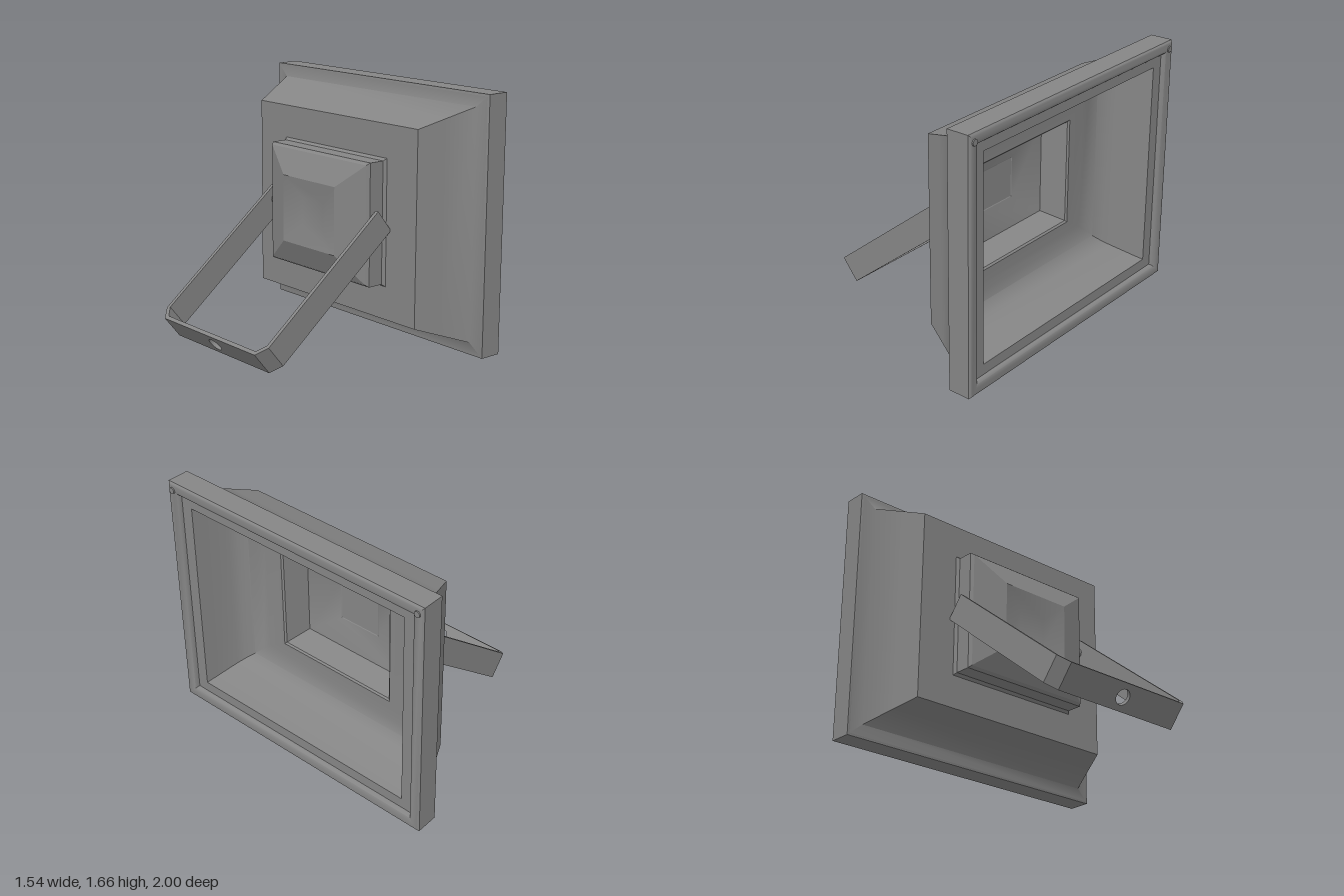
import * as THREE from 'three';
import { toCreasedNormals } from 'three/addons/utils/BufferGeometryUtils.js';

const CENTER_Y = 0.83;
const grey = new THREE.MeshStandardMaterial({ color: 0x858585, side: THREE.DoubleSide });

function add(parent, name, geometry) {
  const mesh = new THREE.Mesh(geometry, grey);
  mesh.name = name;
  parent.add(mesh);
  return mesh;
}

// Rectangular loft along x; each ring is [x, half width in z, half height in y]
function rectLoft(rings, crease = 0.5) {
  const corners = [[1, 1], [-1, 1], [-1, -1], [1, -1]];
  const point = (ring, k) => {
    const [sz, sy] = corners[k % 4];
    return [ring[0], CENTER_Y + sy * ring[2], sz * ring[1]];
  };
  const pos = [];
  for (let i = 0; i < rings.length - 1; i++) {
    for (let k = 0; k < 4; k++) {
      const a = point(rings[i], k), b = point(rings[i + 1], k);
      const c = point(rings[i + 1], k + 1), d = point(rings[i], k + 1);
      if (rings[i + 1][1] > 0) pos.push(...a, ...b, ...c);
      else pos.push(...a, ...b, ...d);
      if (rings[i][1] > 0 && rings[i + 1][1] > 0) pos.push(...a, ...c, ...d);
    }
  }
  const geo = new THREE.BufferGeometry();
  geo.setAttribute('position', new THREE.Float32BufferAttribute(pos, 3));
  return toCreasedNormals(geo, crease);
}

function polygon(points) {
  return new THREE.Shape(points.map(([x, y]) => new THREE.Vector2(x, y)));
}

function extrude(shape, depth) {
  const geo = new THREE.ExtrudeGeometry(shape, { depth, bevelEnabled: false, curveSegments: 20 });
  return geo.translate(0, 0, -depth / 2);
}

function createBracket() {
  const bracket = new THREE.Group();
  bracket.name = 'mountingBracket';
  const width = 0.175;

  // Side arms with bent corners, mirrored in z
  const arm = [[1.18, 0.525], [0.075, 0.525], [0, 0.465], [0, 0.45],
    [0.025, 0.45], [0.085, 0.5], [1.18, 0.5]];
  for (const side of [1, -1]) {
    const shape = polygon(arm.map(([x, z]) => [x, side * z]));
    add(bracket, side > 0 ? 'leftArm' : 'rightArm', extrude(shape, width).rotateX(Math.PI / 2));
  }

  // Cross plate with a mounting hole
  const w = 0.45, h = width / 2;
  const plate = polygon([[-w, -h], [w, -h], [w, h], [-w, h]]);
  plate.holes.push(new THREE.Path().absarc(0, 0, 0.05, 0, Math.PI * 2, true));
  add(bracket, 'crossPlate', extrude(plate, 0.025).rotateY(Math.PI / 2).translate(0.0125, 0, 0));

  bracket.position.set(-0.717, 0.12, 0);
  bracket.rotation.z = 0.675;
  return bracket;
}

export function createModel() {
  const model = new THREE.Group();
  model.name = 'floodlight';

  // Rear box with a shallow dimple in its back
  add(model, 'rearBox', rectLoft([
    [0.065, 0, 0], [0.065, 0.1, 0.09], [0.03, 0.25, 0.22],
    [0.105, 0.46, 0.38], [0.125, 0.475, 0.395], [0.23, 0.475, 0.395], [0.25, 0.49, 0.41],
  ], 0.35));

  // Flared body, blending into the back of the front frame
  add(model, 'bodyBack', rectLoft([[0.25, 0.47, 0.39], [0.25, 0.755, 0.625]]));
  add(model, 'body', rectLoft([
    [0.25, 0.755, 0.625], [0.4, 0.82, 0.678], [0.59, 0.902, 0.745], [0.6, 0.985, 0.815],
  ], 1.2));

  // Front frame with a raised, rounded rim
  add(model, 'frontFrame', rectLoft([
    [0.6, 0.985, 0.815], [0.604, 0.999, 0.829], [0.752, 1, 0.83], [0.762, 0.99, 0.82],
    [0.765, 0.98, 0.81], [0.765, 0.95, 0.78], [0.758, 0.932, 0.762],
    [0.745, 0.922, 0.752], [0.73, 0.92, 0.75], [0.73, 0.84, 0.68],
  ], 0.7));

  // Deep reflector pan with a curved foot and a flat floor
  add(model, 'reflector', rectLoft([
    [0.73, 0.84, 0.68], [0.66, 0.825, 0.665], [0.5, 0.785, 0.625], [0.45, 0.757, 0.6],
    [0.41, 0.7, 0.55], [0.388, 0.64, 0.495], [0.38, 0.58, 0.44], [0.38, 0.447, 0.36],
  ], 0.7));

  // Lamp well and lamp plate
  add(model, 'lampWell', rectLoft([
    [0.38, 0.447, 0.36], [0.37, 0.435, 0.348], [0.2, 0.39, 0.312], [0.146, 0.155, 0.138],
  ]));
  add(model, 'lampPlate', rectLoft([
    [0.146, 0.155, 0.138], [0.143, 0.15, 0.133], [0.143, 0, 0],
  ]));

  // Frame screws and bracket pivots, mirrored in z
  for (const side of [1, -1]) {
    const screw = add(model, 'frameScrew', new THREE.CylinderGeometry(0.02, 0.024, 0.03, 16));
    screw.rotation.z = -Math.PI / 2;
    screw.position.set(0.757, 1.61, side * 0.96);

    const pivot = add(model, 'bracketPivot', new THREE.CylinderGeometry(0.035, 0.035, 0.03, 20));
    pivot.rotation.x = Math.PI / 2;
    pivot.position.set(0.165, 0.83, side * 0.488);
  }

  model.add(createBracket());
  return model;
}
